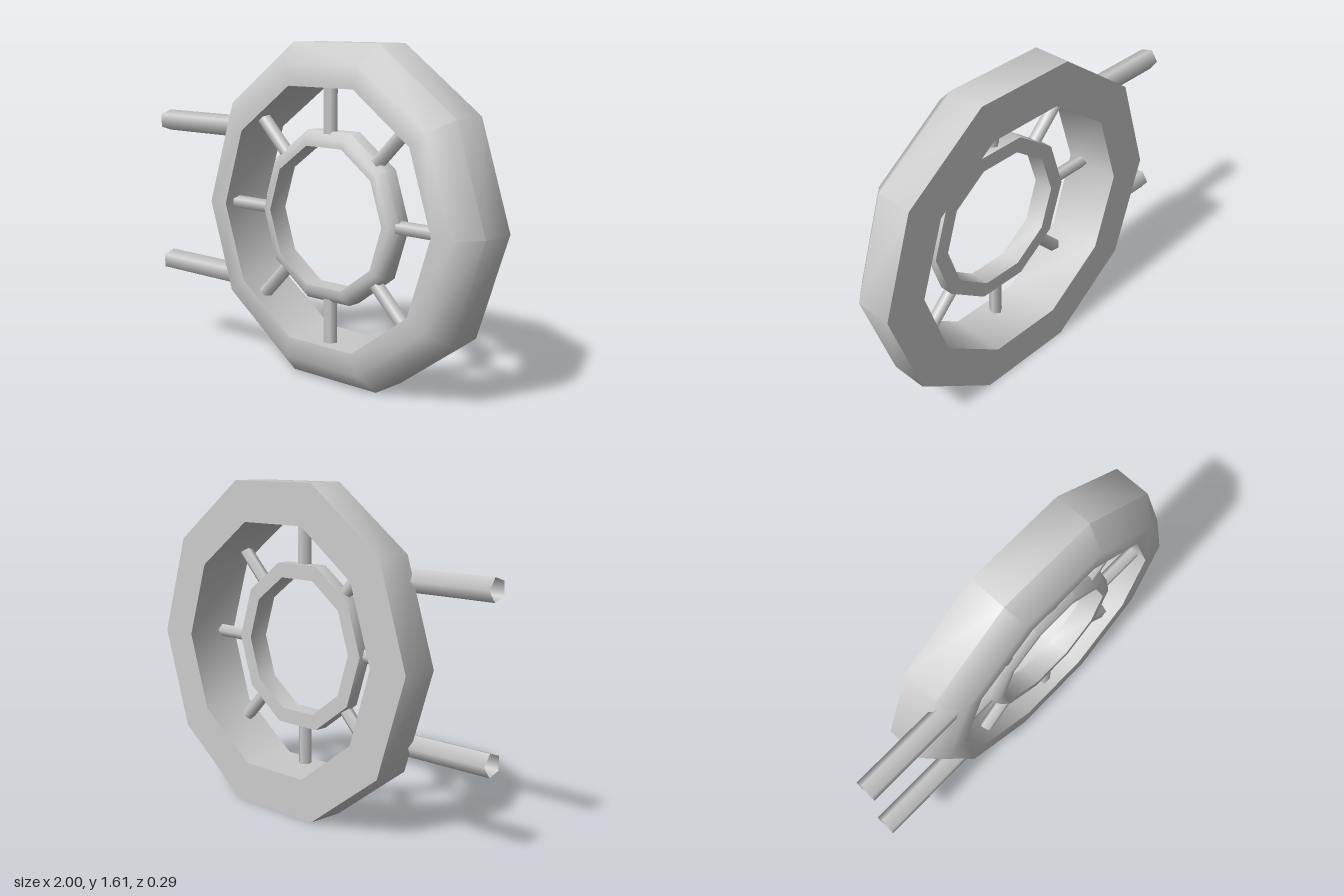
import * as THREE from 'three';
import { toCreasedNormals } from 'three/addons/utils/BufferGeometryUtils.js';

const CENTER_X = 0.1525, CENTER_Y = 0.806;

export function createModel() {
  const group = new THREE.Group();
  const material = new THREE.MeshStandardMaterial({ color: 0xcccccc });
  const openMaterial = new THREE.MeshStandardMaterial({ color: 0xcccccc, side: THREE.DoubleSide });

  const add = (name, geometry, mat, x, y, z) => {
    const mesh = new THREE.Mesh(geometry, mat);
    mesh.name = name;
    mesh.position.set(x, y, z);
    group.add(mesh);
    return mesh;
  };

  // Ten-sided ring around z, bevelled on its front outer edge
  const ring = (outer, inner, back, front, bevel) => {
    const profile = [
      [inner, back], [outer, back], [outer, front - bevel],
      [outer - bevel, front], [inner, front], [inner, back],
    ].map(([r, z]) => new THREE.Vector2(r, z));
    const geometry = new THREE.LatheGeometry(profile, 10, Math.PI / 2);
    geometry.rotateX(Math.PI / 2);
    return toCreasedNormals(geometry, THREE.MathUtils.degToRad(50));
  };

  // Five-sided open tube along y with a flat side to the front
  const tube = (radius, length) =>
    new THREE.CylinderGeometry(radius, radius, length, 5, 1, true, Math.PI);

  add('outerRim', ring(0.8475, 0.638, -0.145, 0.145, 0.103), material, CENTER_X, CENTER_Y, 0);
  add('innerHub', ring(0.424, 0.348, 0.015, 0.12, 0.037), material, CENTER_X, CENTER_Y, 0);

  // Eight spokes between hub and rim
  const r0 = 0.38, r1 = 0.635;
  const spokeGeometry = tube(0.034, r1 - r0);
  for (let i = 0; i < 8; i++) {
    const angle = (i * Math.PI) / 4, r = (r0 + r1) / 2;
    const spoke = add('spoke', spokeGeometry, openMaterial,
      CENTER_X + r * Math.cos(angle), CENTER_Y + r * Math.sin(angle), 0.068);
    spoke.rotation.z = angle - Math.PI / 2;
  }

  // Two open pipes leading out of the rim on the right
  const pipeEnd = -0.43;
  const pipeGeometry = tube(0.057, pipeEnd + 1).rotateZ(Math.PI / 2);
  for (const [name, side] of [['upperPipe', 1], ['lowerPipe', -1]]) {
    add(name, pipeGeometry, openMaterial, (pipeEnd - 1) / 2, CENTER_Y + 0.004 + side * 0.379, 0.076);
  }

  return group;
}
